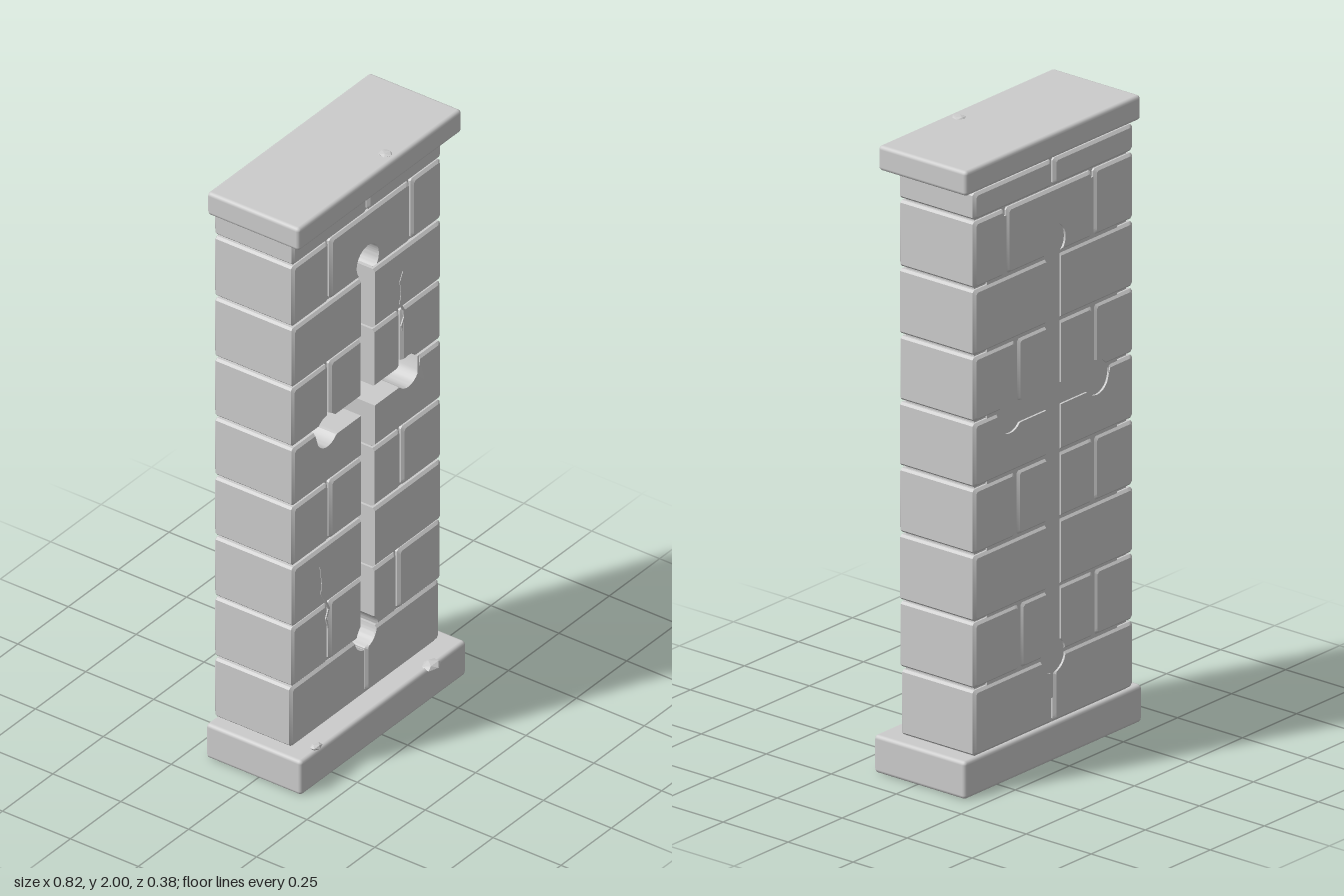
import * as THREE from 'three';
import { toCreasedNormals } from 'three/addons/utils/BufferGeometryUtils.js';
import { RoundedBoxGeometry } from 'three/addons/geometries/RoundedBoxGeometry.js';

const R = 0.055, HALF = 0.034, ARM_X = 0.2, ARM_Y = 1.16, LOW = 0.335, HIGH = 1.655;
const BACK = -0.19, N = 48;

// half-width of a circle of radius r at distance d from its centre (-1 outside)
const chord = (d, r) => (Math.abs(d) < r ? Math.sqrt(r * r - d * d) : -1);

// half-width of the upright slit at height y, g = extra clearance
const slitWidth = (y, g) => Math.max(
  y >= LOW && y <= HIGH ? HALF + g : -1, chord(y - LOW, R + g), chord(y - HIGH, R + g));

// half-height of the cross arm at distance x from the middle
const armHeight = (x, g) => Math.max(x <= ARM_X ? HALF + g : -1, chord(x - ARM_X, R + g));

// Outline of a stone on one side of the middle, with the cross slit cut away.
// e shrinks the stone edges, c chamfers its corners; the slit stays in place.
function outline(a, b, y0, y1, e, c, g) {
  const ca = a > 0 ? c : 0;
  if (a > 0) a += e;
  b -= e; y0 += e; y1 -= e;
  const upper = (y0 + y1) / 2 > ARM_Y;
  const bottom = (x, y) => {
    const h = armHeight(x, g);
    return upper && h > 0 ? Math.max(y, ARM_Y + h) : y;
  };
  const top = (x, y) => {
    const h = armHeight(x, g);
    return !upper && h > 0 ? Math.min(y, ARM_Y - h) : y;
  };
  const inner = (y, x) => Math.max(x, slitWidth(y, g));
  const pts = [], add = (x, y) => pts.push(new THREE.Vector2(x, y));
  const lerp = THREE.MathUtils.lerp;
  const xb = inner(y0, a + ca), xt = inner(y1, a + ca);
  for (let i = 0; i <= N; i++) { const x = lerp(xb, b - c, i / N); add(x, bottom(x, y0)); }
  add(b, bottom(b, y0 + c));
  add(b, top(b, y1 - c));
  for (let i = 0; i <= N; i++) { const x = lerp(b - c, xt, i / N); add(x, top(x, y1)); }
  const ya = top(xt, y1 - ca), yb = bottom(xb, y0 + ca);
  for (let i = 0; i <= N; i++) { const y = lerp(ya, yb, i / N); add(inner(y, a), y); }
  return pts;
}

// Loft of outlines from back to front, with bevelled face edges
function stoneGeometry(side, a, b, y0, y1, zb, zf, e, c, g) {
  const ring = (s) => {
    const p = outline(a, b, y0, y1, s, c, g);
    p.forEach((v) => { v.x *= side; });
    return side < 0 ? p.reverse() : p;
  };
  const small = ring(e), full = ring(0), n = full.length;
  const rings = [[small, zb], [full, zb + e], [full, zf - e], [small, zf]];
  const pos = [], idx = [];
  rings.forEach(([p, z]) => p.forEach((v) => pos.push(v.x, v.y, z)));
  for (let k = 0; k < 3; k++) {
    for (let i = 0; i < n; i++) {
      const j = (i + 1) % n, p = k * n + i, q = k * n + j;
      idx.push(p, q, q + n, p, q + n, p + n);
    }
  }
  for (const [i, j, k] of THREE.ShapeUtils.triangulateShape(small, [])) {
    idx.push(3 * n + i, 3 * n + j, 3 * n + k, k, j, i);
  }
  const geo = new THREE.BufferGeometry();
  geo.setAttribute('position', new THREE.Float32BufferAttribute(pos, 3));
  geo.setIndex(idx);
  return toCreasedNormals(geo, 0.6);
}

export function createModel() {
  const model = new THREE.Group();
  const stone = new THREE.MeshStandardMaterial({ color: 0xcccccc });
  stone.name = 'grey stone';
  stone.side = THREE.DoubleSide;
  const add = (name, geo, x = 0, y = 0, z = 0) => {
    const mesh = new THREE.Mesh(geo, stone);
    mesh.name = name;
    mesh.position.set(x, y, z);
    model.add(mesh);
    return mesh;
  };
  const box = (name, x0, x1, y0, y1, z0, z1, r) => add(name,
    new RoundedBoxGeometry(x1 - x0, y1 - y0, z1 - z0, 2, r),
    (x0 + x1) / 2, (y0 + y1) / 2, (z0 + z1) / 2);

  // plinth and cap slab
  box('plinth', -0.41, 0.41, 0, 0.12, BACK, 0.162, 0.012);
  box('capSlab', -0.405, 0.405, 1.918, 1.997, BACK, 0.15, 0.012);

  // courses: bottom, top, front; with joints the course has a middle stone
  const courses = [
    [0.125, 0.332, 0.096], [0.34, 0.547, 0.102, 0.19, 0.152],
    [0.553, 0.76, 0.104], [0.768, 0.972, 0.103, 0.188, 0.17],
    [0.98, 1.181, 0.104], [1.189, 1.392, 0.102, 0.188, 0.167],
    [1.4, 1.606, 0.104], [1.614, 1.824, 0.103, 0.186, 0.217],
    [1.831, 1.915, 0.104],
  ];
  const E = 0.008, C = 0.007, GAP = 0.005;
  courses.forEach(([y0, y1, zf, left, right], i) => {
    const course = new THREE.Group();
    course.name = 'course' + (i + 1);
    model.add(course);
    for (const side of [-1, 1]) {
      const joint = side < 0 ? left : right, end = side < 0 ? 0.37 : 0.366;
      const spans = joint ? [[0, joint - GAP], [joint + GAP, end]] : [[0.004, end]];
      spans.forEach(([a, b]) => {
        const geo = stoneGeometry(side, a, b, y0, y1, BACK, zf, E, C, 0);
        const mesh = new THREE.Mesh(geo, stone);
        mesh.name = a === 0 ? 'middleStone' : 'stone';
        course.add(mesh);
      });
    }
  });

  // mortar core behind the joints, and the panel closing the slit at the back
  for (const side of [-1, 1]) {
    for (const [y0, y1] of [[0.1, ARM_Y], [ARM_Y, 1.93]]) {
      add('mortar', stoneGeometry(side, 0, 0.352, y0, y1, -0.176, 0.086, 0, 0.001, 0.008));
    }
  }
  add('slitPanel', new THREE.BoxGeometry(0.6, 1.6, 0.006), 0, 1, -0.18);

  // thin jagged cracks on the front
  const crack = (pts, z) => {
    const w = (i) => (i === 0 || i === pts.length - 1 ? 0.001 : 0.004);
    const leftEdge = pts.map(([x, y], i) => new THREE.Vector2(x - w(i), y));
    const rightEdge = pts.map(([x, y], i) => new THREE.Vector2(x + w(i), y)).reverse();
    const shape = new THREE.Shape([...leftEdge, ...rightEdge]);
    add('crack', new THREE.ExtrudeGeometry(shape, { depth: 0.004, bevelEnabled: false }), 0, 0, z);
  };
  crack([[0.172, 1.53], [0.16, 1.5], [0.165, 1.45], [0.158, 1.42], [0.176, 1.39],
    [0.18, 1.365], [0.166, 1.34], [0.168, 1.32]], 0.102);
  crack([[-0.24, 0.7], [-0.228, 0.64], [-0.232, 0.6], [-0.21, 0.56], [-0.195, 0.53],
    [-0.208, 0.5], [-0.198, 0.46]], 0.102);

  // flat chips of rubble
  const chips = [[0.235, 0.126, 0.163, 0.036, 0.013, 0.027],
    [-0.318, 0.124, 0.149, 0.024, 0.009, 0.016], [0.078, 1.997, 0.11, 0.022, 0.006, 0.024]];
  chips.forEach(([x, y, z, sx, sy, sz], i) => {
    const geo = new THREE.IcosahedronGeometry(1, 0).rotateX(0.553).rotateY(i);
    add('chip', geo, x, y, z).scale.set(sx, sy, sz);
  });
  return model;
}
